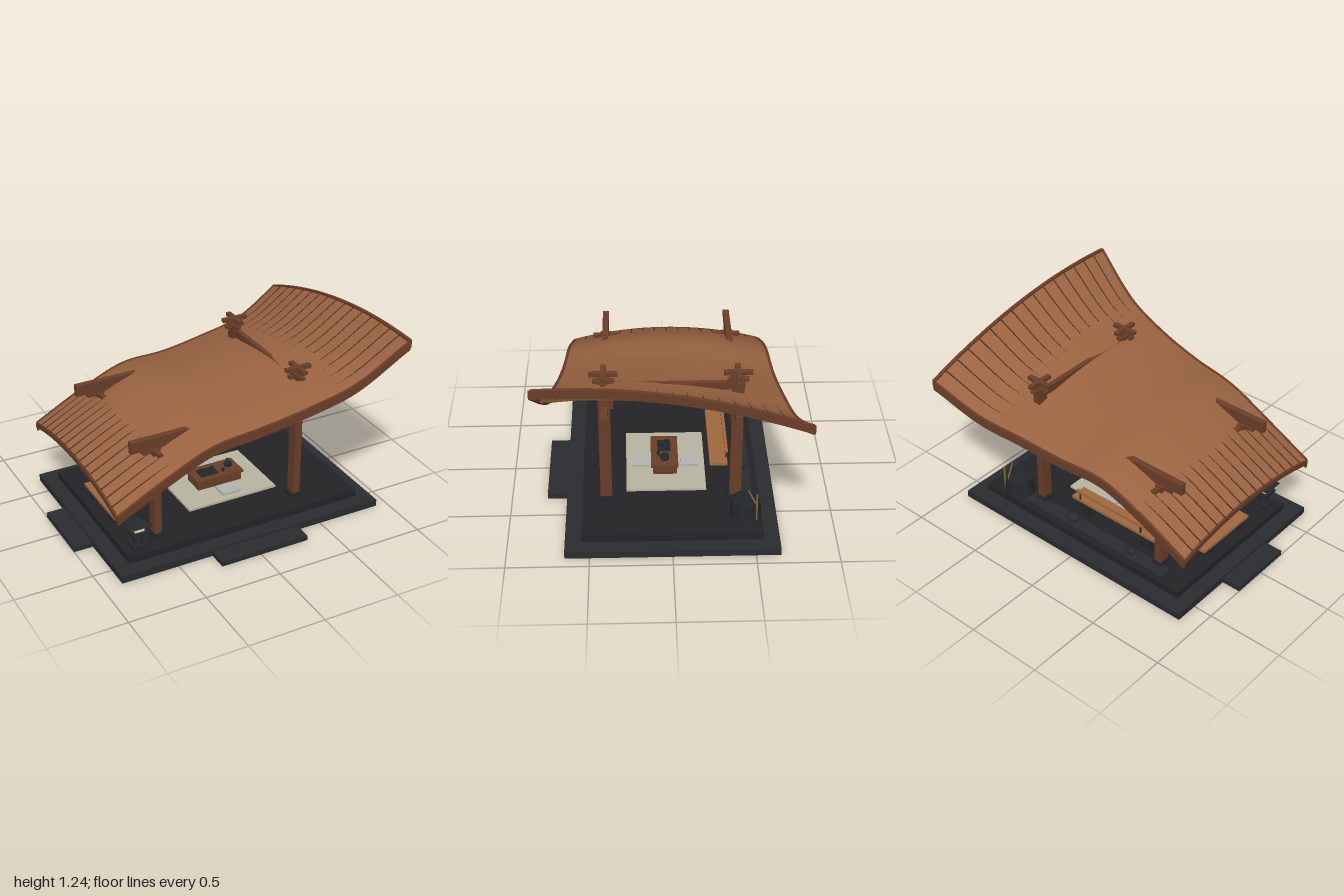
import * as THREE from 'three';
import { mergeGeometries } from 'three/addons/utils/BufferGeometryUtils.js';
import { ParametricGeometry } from 'three/addons/geometries/ParametricGeometry.js';

const mat = (color, extra = {}) => new THREE.MeshStandardMaterial({ color, ...extra });
const M = {
  stone: mat(0x2b2c30), floor: mat(0x232426), iron: mat(0x25282b), wood: mat(0x6b3e28),
  plank: mat(0xa0693f), deck: mat(0x9a6342, { side: THREE.DoubleSide }), under: mat(0x5a3a26, { side: THREE.DoubleSide }),
  rib: mat(0x7d4f33), seam: mat(0x4a2e1f), mat: mat(0xb9b5a2), cushion: mat(0xb4b4b2),
  paper: mat(0xe4d8c4), bamboo: mat(0x8a6a3c)
};

// Roof shell: x, mid height and front-to-back tilt follow one spline; v runs from -1 (back) to 1 (front)
const spine = new THREE.CatmullRomCurve3([
  [-0.88, 0.455, 0], [-0.57, 0.615, 0], [-0.26, 0.745, 0.01], [0.05, 0.775, 0.033],
  [0.36, 0.827, 0.052], [0.67, 0.907, 0.085], [0.985, 1.1, 0.13]
].map(p => new THREE.Vector3(...p)), false, 'catmullrom');

function roof(u, v, lift = 0) {
  const p = spine.getPoint(u);
  const half = 0.62 + 0.17 * Math.pow(Math.max(0, (p.x + 0.88) / 1.865), 2.5);
  return new THREE.Vector3(p.x, p.y + p.z * v + 0.085 * (1 - v * v) + lift, half * v);
}

// Bar with a rectangular section following a path of (u, v) on the roof
function roofBar(path, n, width, top, bottom) {
  const pos = [], idx = [];
  const pts = Array.from({ length: n + 1 }, (_, i) => roof(...path(i / n)));
  pts.forEach((p, i) => {
    const t = pts[Math.min(i + 1, n)].clone().sub(pts[Math.max(i - 1, 0)]);
    const side = new THREE.Vector3(-t.z, 0, t.x).normalize().multiplyScalar(width / 2);
    const lift = typeof top === 'function' ? top(i / n) : top;
    for (const [s, y] of [[-1, bottom], [1, bottom], [1, lift], [-1, lift]])
      pos.push(p.x + side.x * s, p.y + y, p.z + side.z * s);
    if (i < n) for (let k = 0; k < 4; k++) {
      const a = i * 4 + k, b = i * 4 + (k + 1) % 4;
      idx.push(a, a + 4, b, b, a + 4, b + 4);
    }
  });
  const e = n * 4;
  idx.push(0, 1, 2, 0, 2, 3, e, e + 2, e + 1, e, e + 3, e + 2);
  // keep the faces outward whichever way the winding falls
  let g = new THREE.BufferGeometry();
  g.setAttribute('position', new THREE.Float32BufferAttribute(pos, 3));
  g.setIndex(idx);
  g = g.toNonIndexed();
  g.computeVertexNormals();
  return g;
}

export function createModel() {
  const model = new THREE.Group();
  const add = (name, geo, material, x = 0, y = 0, z = 0, parent = model) => {
    const m = new THREE.Mesh(geo, material);
    m.name = name;
    m.position.set(x, y, z);
    parent.add(m);
    return m;
  };
  // Box given by its limits on each axis
  const box = (name, material, x0, x1, y0, y1, z0, z1, parent) =>
    add(name, new THREE.BoxGeometry(x1 - x0, y1 - y0, z1 - z0), material,
      (x0 + x1) / 2, (y0 + y1) / 2, (z0 + z1) / 2, parent);
  const cyl = (rt, rb, h, n = 24) => new THREE.CylinderGeometry(rt, rb, h, n);
  const group = name => { const g = new THREE.Group(); g.name = name; model.add(g); return g; };

  // Stepped platform
  box('lowerPlatform', M.stone, -0.875, 0.925, 0, 0.046, -0.65, 0.65);
  box('upperPlatform', M.floor, -0.78, 0.83, 0.046, 0.092, -0.55, 0.55);
  box('frontStep', M.stone, -0.27, 0.33, 0, 0.032, 0.65, 0.775);
  box('sideStep', M.stone, -1, -0.875, 0, 0.032, -0.22, 0.22);
  box('backKerb', M.stone, -0.62, 0.52, 0.092, 0.1, -0.51, -0.42);

  // Posts with footings, and cross brackets at their heads
  for (const z of [-0.4, 0.4]) for (const [x, top, foot] of [[-0.53, 0.71, 0.032], [0.45, 0.985, 0.042]]) {
    const g = group('post');
    box('footing', M.iron, x - foot, x + foot, 0.09, 0.122, z - 0.045, z + 0.045, g);
    box('shaft', M.wood, x - 0.024, x + 0.024, 0.12, top, z - 0.036, z + 0.036, g);
    const tiers = x > 0 ? [[0.942, 0.962, 0.065], [0.988, 1.012, 0.086]] : [[0.682, 0.704, 0.082]];
    for (const [y0, y1, r] of tiers) {
      box('bracketArm', M.wood, x - r, x + r, y0, y1, z - 0.016, z + 0.016, g);
      box('bracketArm', M.wood, x - 0.016, x + 0.016, y0, y1 - 0.001, z - r, z + r, g);
    }
    if (x > 0) box('bracketBlock', M.wood, x - 0.042, x + 0.042, 0.962, 0.976, z - 0.042, z + 0.042, g);
  }

  // Tie beams
  for (const z of [-0.4, 0.4]) {
    box('longBeam', M.wood, -0.69, 0.61, 0.742, 0.785, z - 0.02, z + 0.02);
    box('longBeamLower', M.wood, -0.69, 0.61, 0.71, 0.742, z - 0.017, z + 0.017);
  }
  box('lowCrossBeam', M.wood, -0.548, -0.512, 0.65, 0.69, -0.385, 0.385);
  box('highCrossBeam', M.wood, 0.434, 0.466, 0.888, 0.937, -0.44, 0.44);

  // Roof deck: top and bottom sheets
  const sheet = lift => new ParametricGeometry((a, b, out) => out.copy(roof(a, b * 2 - 1, lift)), 48, 32);
  add('roofDeck', sheet(0), M.deck);
  add('roofLining', sheet(-0.01), M.under);

  // Rafters, seams, purlins and diagonal bracing
  const rows = 16, bays = 11, V = j => -1 + 2 * j / rows;
  const rafters = [], seams = [], purlins = [], braces = [];
  for (let j = 1; j < rows; j++) {
    rafters.push(roofBar(t => [t, V(j)], 32, 0.014, -0.008, -0.036));
    seams.push(roofBar(t => [t, V(j)], 32, 0.007, t => -0.003 + 0.028 * (t - 0.5) ** 2, -0.006));
  }
  for (let i = 1; i < bays; i++) purlins.push(roofBar(t => [i / bays, 2 * t - 1], 24, 0.016, -0.026, -0.046));
  for (let i = 0; i < bays; i++) for (let j = 0; j < rows; j++) {
    const flip = (i + j) % 2;
    braces.push(roofBar(t => [(i + (flip ? 1 - t : t)) / bays, V(j + t)], 2, 0.009, -0.009, -0.024));
  }
  add('rafters', mergeGeometries(rafters), M.rib);
  add('deckSeams', mergeGeometries(seams), M.seam);
  add('purlins', mergeGeometries(purlins), M.rib);
  add('diagonalBraces', mergeGeometries(braces), M.rib);

  // Edge boards
  for (const v of [-1, 1]) add('sideFascia', roofBar(t => [t, v], 48, 0.018, 0.004, -0.056), M.wood);
  add('highFascia', roofBar(t => [1, 2 * t - 1], 32, 0.022, 0.006, -0.05), M.wood);
  add('lowFascia', roofBar(t => [0, 2 * t - 1], 32, 0.014, 0.003, -0.03), M.wood);

  // Floor mat, table and cushions
  box('floorMat', M.mat, -0.235, 0.39, 0.092, 0.106, -0.225, 0.277);
  box('tableBody', M.wood, -0.08, 0.23, 0.106, 0.163, -0.045, 0.105);
  box('tableTop', M.wood, -0.092, 0.243, 0.163, 0.177, -0.055, 0.118);
  box('frontCushion', M.cushion, 0.03, 0.15, 0.106, 0.121, 0.125, 0.235);
  box('backCushion', M.cushion, 0.03, 0.15, 0.106, 0.121, -0.185, -0.075);
  box('tray', M.iron, -0.04, 0.08, 0.177, 0.183, -0.01, 0.075);
  for (const [x, z] of [[-0.015, 0.015], [0.025, 0.05], [0.06, 0.015], [0.115, 0.07]])
    add('cup', cyl(0.012, 0.008, 0.018, 12), M.iron, x, 0.19, z);

  // Kettle
  const kettle = group('kettle');
  kettle.position.set(0.175, 0.177, 0.03);
  add('kettleBody', new THREE.SphereGeometry(0.028, 20, 14).scale(1, 0.75, 1), M.iron, 0, 0.02, 0, kettle);
  add('kettleLid', new THREE.SphereGeometry(0.007, 10, 8), M.iron, 0, 0.043, 0, kettle);
  add('kettleHandle', new THREE.TorusGeometry(0.024, 0.003, 8, 20, Math.PI), M.iron, 0, 0.034, 0, kettle).rotation.y = Math.PI / 2;
  add('kettleSpout', cyl(0.004, 0.007, 0.03, 10), M.iron, 0, 0.03, 0.031, kettle).rotation.x = 0.8;

  // Back bench with rail
  box('benchSeat', M.plank, -0.475, 0.24, 0.173, 0.192, -0.367, -0.253);
  for (const x of [-0.375, 0.14]) box('benchLeg', M.iron, x - 0.043, x + 0.043, 0.092, 0.173, -0.365, -0.257);
  box('benchRail', M.plank, -0.455, 0.2, 0.243, 0.26, -0.37, -0.35);
  for (const x of [-0.33, 0.175]) box('railPost', M.iron, x - 0.004, x + 0.004, 0.19, 0.244, -0.364, -0.356);

  // Side bench
  box('sideBenchSeat', M.plank, -0.73, -0.61, 0.153, 0.171, -0.225, 0.228);
  for (const z of [-0.15, 0.15]) box('sideBenchLeg', M.iron, -0.715, -0.625, 0.092, 0.153, z - 0.04, z + 0.04);

  // Lantern
  const lantern = group('lantern');
  lantern.position.set(-0.68, 0.092, 0.46);
  add('lanternBase', new THREE.BoxGeometry(0.1, 0.03, 0.1), M.iron, 0, 0.015, 0, lantern);
  add('lanternStem', cyl(0.026, 0.034, 0.075, 12), M.iron, 0, 0.065, 0, lantern);
  add('lanternShelf', new THREE.BoxGeometry(0.105, 0.018, 0.105), M.iron, 0, 0.107, 0, lantern);
  add('lanternLight', new THREE.BoxGeometry(0.062, 0.052, 0.062), M.paper, 0, 0.14, 0, lantern);
  add('lanternRoof', new THREE.ConeGeometry(0.1, 0.052, 4).rotateY(Math.PI / 4).toNonIndexed(),
    mat(0x25282b, { flatShading: true }), 0, 0.19, 0, lantern);

  // Water basin with bamboo ladles
  const lathe = [[0, 0], [0.098, 0], [0.086, 0.11], [0.076, 0.11], [0.076, 0.1], [0, 0.1]].map(p => new THREE.Vector2(...p));
  const basin = new THREE.LatheGeometry(lathe, 32).toNonIndexed();
  basin.computeVertexNormals();
  add('basin', basin, M.iron, 0.63, 0.092, -0.453);
  add('bambooPole', cyl(0.006, 0.006, 0.19, 10), M.bamboo, 0.7, 0.187, -0.515);
  add('ladleHandle', cyl(0.005, 0.005, 0.12, 10), M.bamboo, 0.675, 0.24, -0.49).rotation.x = 0.45;
  add('ladleCup', cyl(0.014, 0.012, 0.022, 14), M.iron, 0.59, 0.2, -0.44);

  // Garden stones
  for (const [x, z, r] of [[0.15, -0.46, 0.042], [-0.34, -0.46, 0.03]])
    add('stone', new THREE.SphereGeometry(r, 18, 12).scale(1.1, 0.7, 0.9), M.stone, x, 0.1 + r * 0.5, z);

  return model;
}
